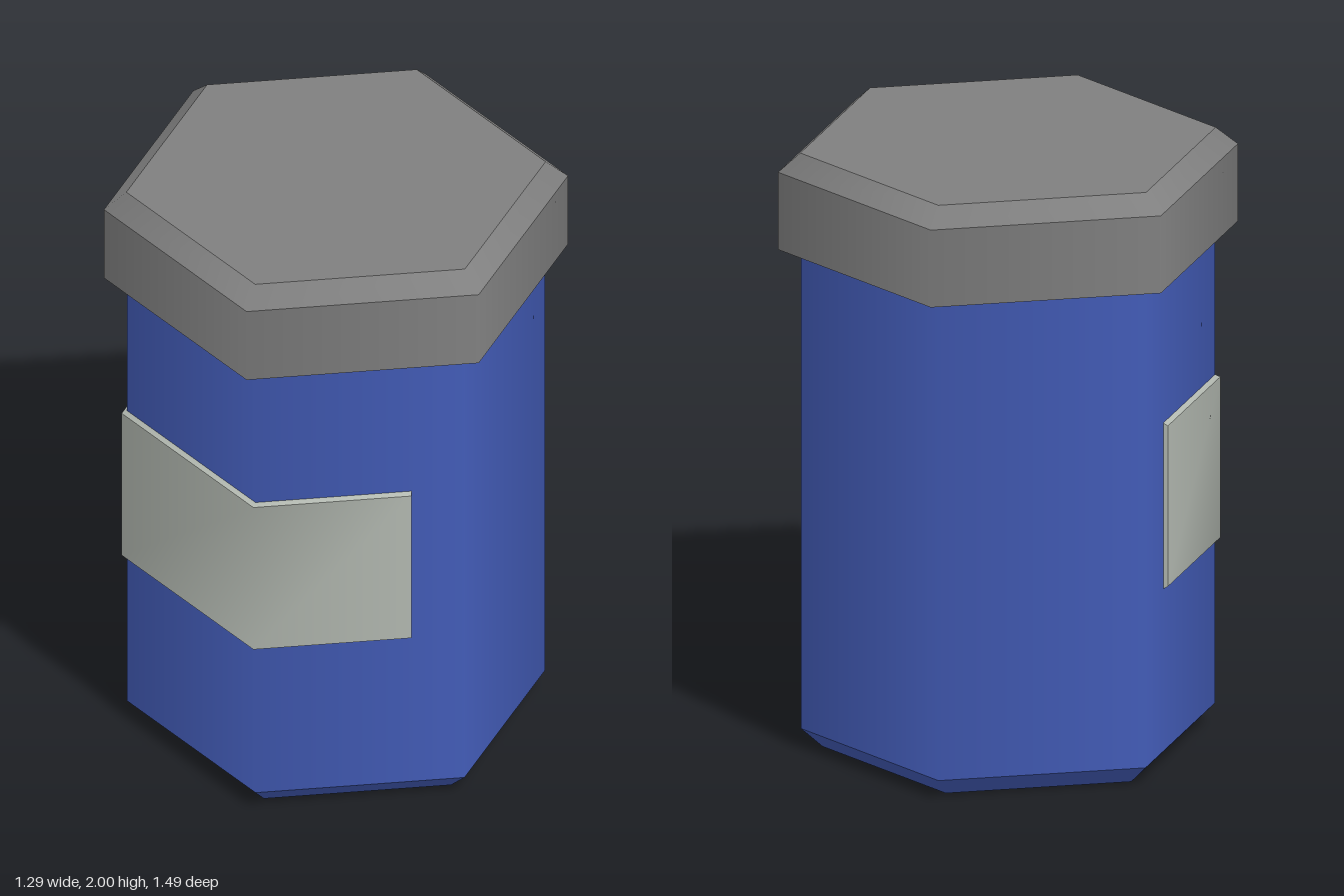
import * as THREE from 'three';
import { mergeGeometries } from 'three/addons/utils/BufferGeometryUtils.js';

const blue = new THREE.MeshStandardMaterial({ color: 0x425bb6 });
blue.name = 'blue body';
const grey = new THREE.MeshStandardMaterial({ color: 0x7f7f7f });
grey.name = 'grey lid';
const pale = new THREE.MeshStandardMaterial({ color: 0xb3b9b1 });
pale.name = 'pale label';

// Closed six-sided solid from [radius, y] rings; corners point along z.
// Walls are smooth around the axis, with a sharp edge at every ring.
function hexSolid(name, rings, material) {
  const parts = [];
  for (let i = 0; i < rings.length - 1; i++) {
    const [r0, y0] = rings[i];
    const [r1, y1] = rings[i + 1];
    parts.push(new THREE.CylinderGeometry(r1, r0, y1 - y0, 6, 1, true).translate(0, (y0 + y1) / 2, 0));
  }
  const cap = ([r, y], tilt) =>
    new THREE.CircleGeometry(r, 6, Math.PI / 2).rotateX(tilt).translate(0, y, 0);
  parts.push(cap(rings[0], Math.PI / 2), cap(rings[rings.length - 1], -Math.PI / 2));
  const mesh = new THREE.Mesh(mergeGeometries(parts), material);
  mesh.name = name;
  return mesh;
}

// Band between a lower and an upper row of points, smooth along its length
function strip(lower, upper) {
  const n = lower.length;
  const index = [];
  for (let i = 0; i < n - 1; i++) index.push(i, i + 1, n + i + 1, i, n + i + 1, n + i);
  const g = new THREE.BufferGeometry().setFromPoints([...lower, ...upper]);
  g.setIndex(index);
  g.computeVertexNormals();
  return g;
}

// Label row wrapped around the left-hand corners of a hexagon of the given radius
function labelRow(radius, endX, y) {
  const x = -radius * Math.sqrt(3) / 2;
  const endZ = radius + endX / Math.sqrt(3);
  return [[endX, -endZ], [x, -radius / 2], [x, radius / 2], [endX, endZ]]
    .map(([px, pz]) => new THREE.Vector3(px, y, pz));
}

function makeLabel() {
  const rows = [
    labelRow(0.668, -0.146, 0.61),
    labelRow(0.687, -0.156, 0.62),
    labelRow(0.687, -0.156, 1.16),
    labelRow(0.668, -0.146, 1.17),
  ];
  const [innerLow, outerLow, outerTop, innerTop] = rows;
  const parts = [];
  for (let i = 0; i < 3; i++) parts.push(strip(rows[i], rows[i + 1]));
  // Bevelled ends
  parts.push(strip([innerLow[0], outerLow[0]], [innerTop[0], outerTop[0]]));
  parts.push(strip([outerLow[3], innerLow[3]], [outerTop[3], innerTop[3]]));
  const mesh = new THREE.Mesh(mergeGeometries(parts), pale);
  mesh.name = 'label';
  return mesh;
}

export function createModel() {
  const model = new THREE.Group();
  model.name = 'hexagonal jar';
  model.add(hexSolid('body', [[0.6, 0], [0.67, 0.065], [0.67, 1.7]], blue));
  model.add(hexSolid('lid', [[0.744, 1.68], [0.744, 1.94], [0.672, 2]], grey));
  model.add(makeLabel());
  return model;
}
